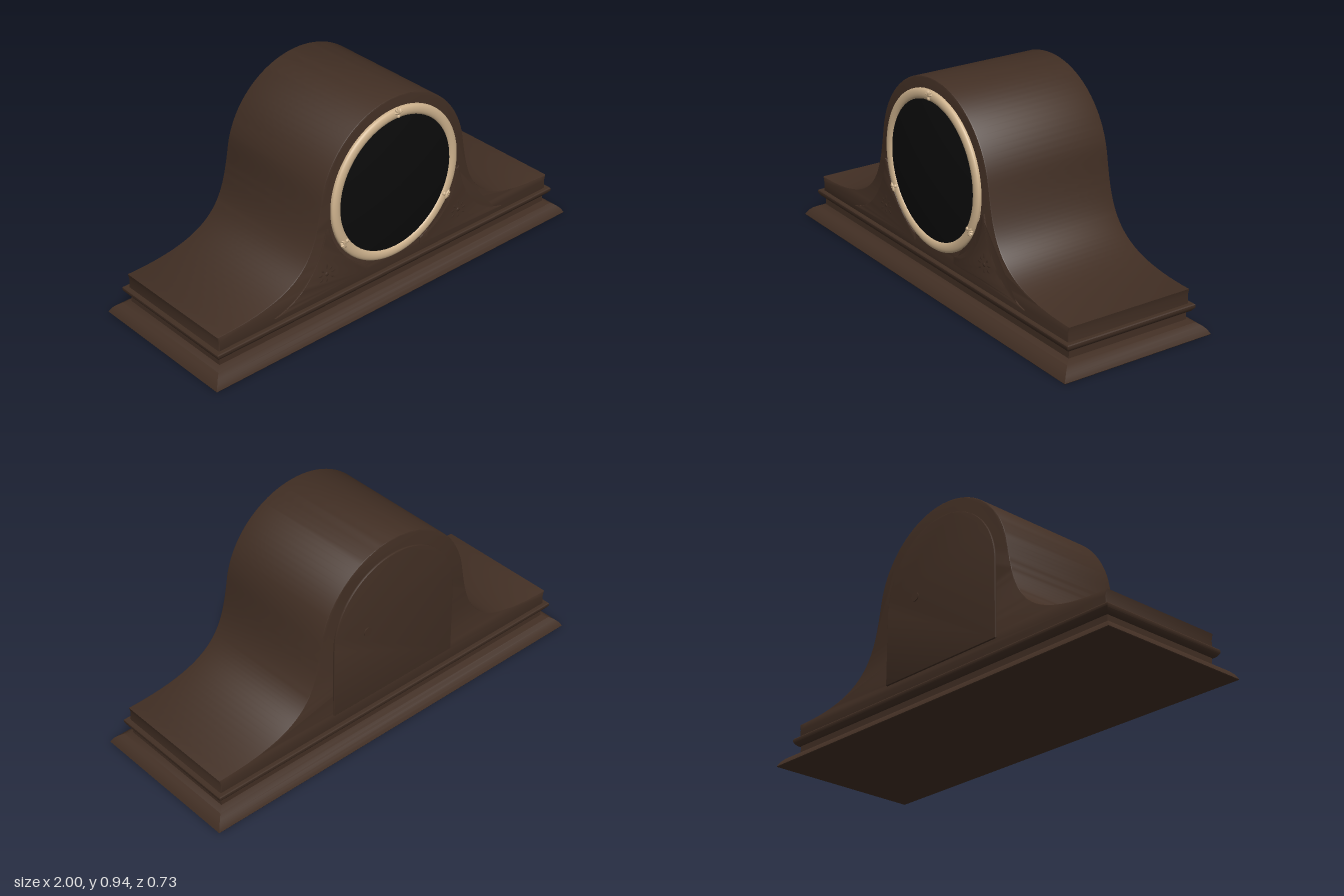
import * as THREE from 'three';
import { toCreasedNormals } from 'three/addons/utils/BufferGeometryUtils.js';

const wood = new THREE.MeshStandardMaterial({ color: 0x422f24 });
wood.name = 'dark wood';
const brass = new THREE.MeshStandardMaterial({ color: 0xcfb38e });
brass.name = 'pale brass';
const black = new THREE.MeshStandardMaterial({ color: 0x0b0b0b });
black.name = 'black glass';

const DIAL_Y = 0.535;
const V = (x, y) => new THREE.Vector2(x, y);

function add(parent, name, geometry, material, x = 0, y = 0, z = 0) {
  const mesh = new THREE.Mesh(geometry, material);
  mesh.name = name;
  mesh.position.set(x, y, z);
  parent.add(mesh);
  return mesh;
}

// Rectangular moulding with mitred corners; profile is [half depth, height] from bottom to top
function moulding(profile) {
  const pos = [];
  const rings = profile.map(([z, y]) => {
    const x = z + 0.635;
    return [[x, y, z], [x, y, -z], [-x, y, -z], [-x, y, z]];
  });
  const quad = (a, b, c, d) => pos.push(...a, ...b, ...c, ...a, ...c, ...d);
  for (let i = 0; i < rings.length - 1; i++) {
    for (let j = 0; j < 4; j++) {
      const k = (j + 1) % 4;
      quad(rings[i][j], rings[i][k], rings[i + 1][k], rings[i + 1][j]);
    }
  }
  quad(...[...rings[0]].reverse());
  quad(...rings[rings.length - 1]);
  const g = new THREE.BufferGeometry();
  g.setAttribute('position', new THREE.Float32BufferAttribute(pos, 3));
  return toCreasedNormals(g, 0.6);
}

// Extrusion from z = 0 forward, with a small bevel that stays inside the outline
function slab(shape, depth, bevel) {
  const g = new THREE.ExtrudeGeometry(shape, {
    depth: depth - 2 * bevel, bevelThickness: bevel, bevelSize: bevel,
    bevelOffset: -bevel, bevelSegments: 2, curveSegments: 32,
  });
  g.translate(0, 0, bevel);
  return toCreasedNormals(g, 0.5);
}

// Arched case outline with sweeping shoulders
function caseShape() {
  const a = THREE.MathUtils.degToRad(10);
  const start = V(0.4 * Math.cos(a), DIAL_Y + 0.4 * Math.sin(a));
  const sweep = new THREE.CubicBezierCurve(start, V(0.435, 0.37), V(0.46, 0.2), V(0.938, 0.197)).getPoints(30);
  const right = [V(0.935, 0.125), V(0.932, 0.17), ...sweep.reverse()];
  const arch = [];
  for (let i = 1; i < 40; i++) {
    const t = a + (Math.PI - 2 * a) * i / 40;
    arch.push(V(0.4 * Math.cos(t), DIAL_Y + 0.4 * Math.sin(t)));
  }
  const left = right.map(p => V(-p.x, p.y)).reverse();
  return new THREE.Shape([...right, ...arch, ...left]);
}

// Curved triangular frame with a carved flower; s is the side
function spandrel(s) {
  const group = new THREE.Group();
  group.name = s > 0 ? 'leftSpandrel' : 'rightSpandrel';
  const outline = new THREE.QuadraticBezierCurve(V(0.372, 0.47), V(0.43, 0.2), V(0.65, 0.155)).getPoints(16);
  outline.push(V(0.15, 0.168));
  const a0 = Math.atan2(0.2 - DIAL_Y, 0.15), a1 = Math.atan2(0.46 - DIAL_Y, 0.36);
  for (let i = 0; i <= 16; i++) {
    const t = a0 + (a1 - a0) * i / 16;
    outline.push(V(0.366 * Math.cos(t), DIAL_Y + 0.366 * Math.sin(t)));
  }
  const scaled = k => outline.map(p => V(s * (0.38 + (p.x - 0.38) * k), 0.24 + (p.y - 0.24) * k));
  const frame = new THREE.Shape(scaled(1));
  frame.holes.push(new THREE.Path(scaled(0.82)));
  add(group, 'spandrelFrame', slab(frame, 0.009, 0.002), wood, 0, 0, 0.298);

  const petals = [[90, 0.065], [45, 0.05], [135, 0.05], [5, 0.055], [175, 0.055], [-35, 0.06], [215, 0.06], [-90, 0.045]];
  for (const [deg, len] of petals) {
    const g = new THREE.SphereGeometry(1, 12, 8);
    g.scale(len / 2, 0.011, 0.008);
    g.translate(len / 2 + 0.006, 0, 0);
    add(group, 'carvedPetal', g, wood, s * 0.375, 0.25, 0.3).rotation.z = THREE.MathUtils.degToRad(deg);
  }
  const heart = new THREE.SphereGeometry(0.014, 14, 10);
  heart.scale(1, 1, 0.7);
  add(group, 'flowerHeart', heart, wood, s * 0.375, 0.25, 0.3);
  return group;
}

// Small shell clasp on the bezel
function clasp(deg) {
  const group = new THREE.Group();
  group.name = 'bezelClasp';
  const t = THREE.MathUtils.degToRad(deg);
  group.position.set(0.33 * Math.cos(t), DIAL_Y + 0.33 * Math.sin(t), 0.318);
  group.rotation.z = t - Math.PI / 2;
  for (let i = -2; i <= 2; i++) {
    const g = new THREE.SphereGeometry(1, 10, 8);
    g.scale(0.006, 0.016, 0.009);
    g.translate(0, 0.009, 0);
    add(group, 'shellLobe', g, brass).rotation.z = i * 0.6;
  }
  const knob = new THREE.SphereGeometry(0.009, 12, 8);
  add(group, 'shellKnob', knob, brass, 0, -0.012, 0);
  return group;
}

// Turned part facing +z
function turned(points) {
  const g = new THREE.LatheGeometry(points, 72);
  g.rotateX(Math.PI / 2);
  return g;
}

export function createModel() {
  const model = new THREE.Group();
  model.name = 'mantelClock';

  // Stepped plinth
  add(model, 'basePlinth', moulding([
    [0.365, 0], [0.367, 0.003], [0.364, 0.009], [0.355, 0.024], [0.341, 0.038],
    [0.322, 0.05], [0.295, 0.06], [0.295, 0.1],
  ]), wood);
  add(model, 'waistMoulding', moulding([
    [0.302, 0.095], [0.309, 0.1], [0.318, 0.112], [0.32, 0.116], [0.32, 0.127], [0.317, 0.131],
  ]), wood);

  // Case
  add(model, 'case', slab(caseShape(), 0.602, 0.005), wood, 0, 0, -0.301);

  // Bezel ring and domed glass
  const bezel = [];
  for (let i = 0; i <= 12; i++) {
    const t = Math.PI * i / 12;
    bezel.push(V(0.3275 + 0.0225 * Math.cos(t), 0.008 + 0.013 * Math.sin(t)));
  }
  add(model, 'bezel', turned([V(0.35, -0.002), ...bezel, V(0.305, -0.002)]), brass, 0, DIAL_Y, 0.3);
  const dome = [];
  for (let i = 0; i <= 14; i++) {
    const r = 0.309 * (1 - i / 14);
    dome.push(V(r, 0.011 + 0.029 * (1 - (r / 0.309) ** 2)));
  }
  add(model, 'glassDome', turned(dome), black, 0, DIAL_Y, 0.3);
  for (const deg of [90, 210, 330]) model.add(clasp(deg));

  // Carved corners
  model.add(spandrel(1), spandrel(-1));

  // Arched back door with a small knob
  const door = new THREE.Shape();
  door.moveTo(-0.335, 0.195);
  door.lineTo(0.335, 0.195);
  door.lineTo(0.335, DIAL_Y);
  door.absarc(0, DIAL_Y, 0.333, 0, Math.PI, false);
  door.lineTo(-0.335, 0.195);
  add(model, 'backDoor', slab(door, 0.012, 0.002), wood, 0, 0, -0.31);
  const knob = new THREE.CylinderGeometry(0.02, 0.02, 0.008, 24);
  knob.rotateX(Math.PI / 2);
  add(model, 'doorKnob', knob, wood, 0.155, 0.545, -0.31);

  return model;
}
